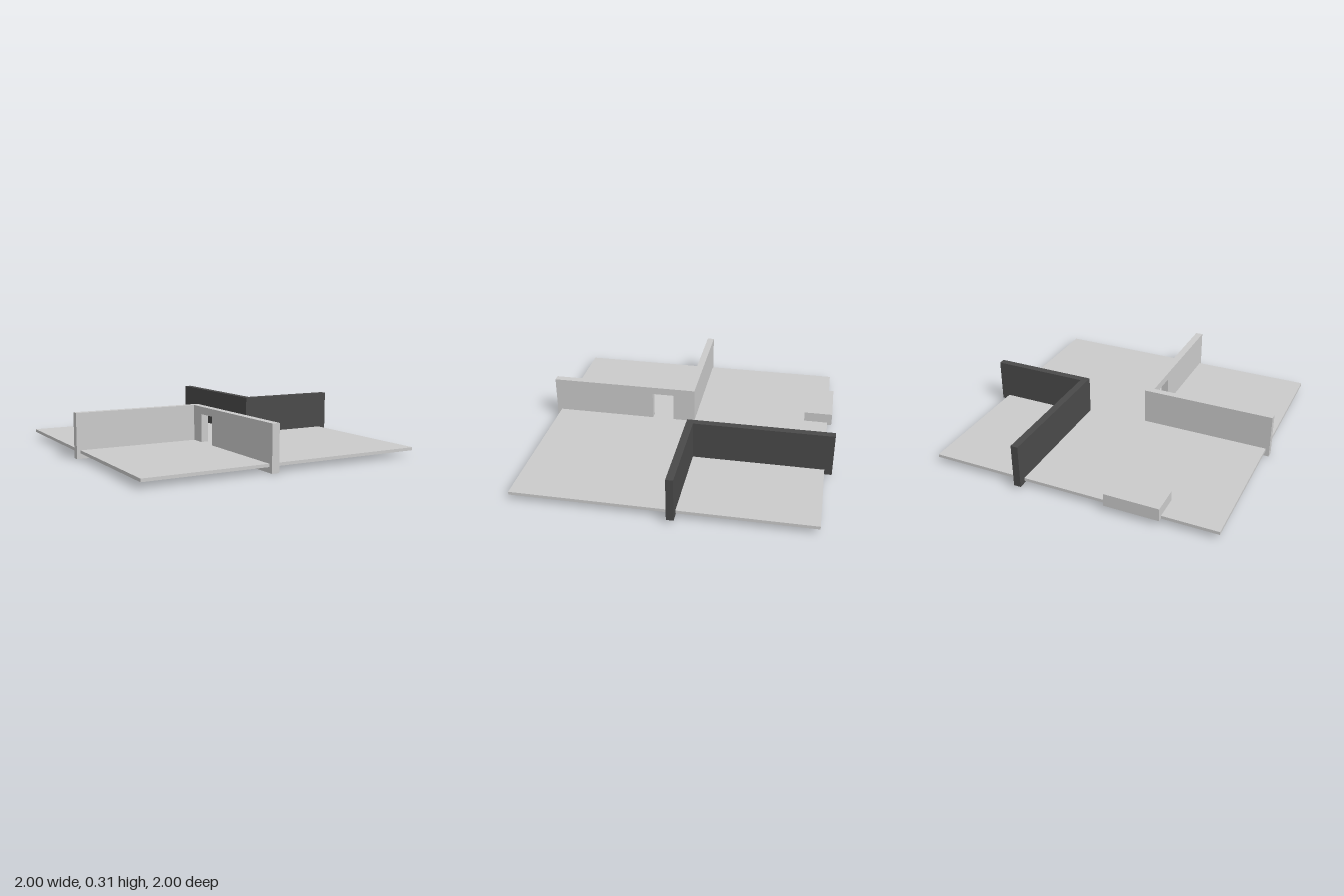
import * as THREE from 'three';

const grey = new THREE.MeshStandardMaterial({ color: 0xcccccc });
const dark = new THREE.MeshStandardMaterial({ color: 0x4a4a4a });

// Box given by its minimum and maximum corners
function block(name, [x0, y0, z0], [x1, y1, z1], material) {
  const mesh = new THREE.Mesh(new THREE.BoxGeometry(x1 - x0, y1 - y0, z1 - z0), material);
  mesh.position.set((x0 + x1) / 2, (y0 + y1) / 2, (z0 + z1) / 2);
  mesh.name = name;
  return mesh;
}

// Upright L-shaped wall, extruded from its footprint given as [x, z] corners
function cornerWall(name, footprint, y0, y1, material) {
  const shape = new THREE.Shape(footprint.map(([x, z]) => new THREE.Vector2(x, -z)));
  const geometry = new THREE.ExtrudeGeometry(shape, { depth: y1 - y0, bevelEnabled: false });
  geometry.rotateX(-Math.PI / 2).translate(0, y0, 0);
  const mesh = new THREE.Mesh(geometry, material);
  mesh.name = name;
  return mesh;
}

// Wall running along z with a rectangular doorway
function doorWall(name, xMax, thickness, z0, z1, height, door) {
  const rect = (Type, a0, b0, a1, b1) => new Type([
    new THREE.Vector2(a0, b0), new THREE.Vector2(a1, b0),
    new THREE.Vector2(a1, b1), new THREE.Vector2(a0, b1)]);
  const shape = rect(THREE.Shape, z0, 0, z1, height);
  shape.holes.push(rect(THREE.Path, ...door));
  const geometry = new THREE.ExtrudeGeometry(shape, { depth: thickness, bevelEnabled: false });
  geometry.rotateY(-Math.PI / 2).translate(xMax, 0, 0);
  const mesh = new THREE.Mesh(geometry, grey);
  mesh.name = name;
  return mesh;
}

export function createModel() {
  const model = new THREE.Group();
  model.name = 'floorWithWalls';

  // Thin floor slab
  model.add(block('floor', [-0.975, 0.035, -0.95], [0.945, 0.055, 0.97], grey));

  // Light corner wall: a plain run along x and a run along z with a doorway
  const lightWall = new THREE.Group();
  lightWall.name = 'lightCornerWall';
  lightWall.add(
    block('plainWall', [-1, 0, -0.015], [-0.16, 0.295, 0.033], grey),
    doorWall('doorwayWall', -0.11, 0.05, -0.015, 1, 0.295, [0.135, 0.05, 0.285, 0.245]),
  );
  model.add(lightWall);

  // Dark corner wall
  model.add(cornerWall('darkCornerWall', [
    [0.3, -0.04], [1, -0.04], [1, -0.087], [0.347, -0.087], [0.347, -1], [0.3, -1],
  ], 0.02, 0.31, dark));

  // Low block overhanging the back edge
  model.add(block('lowBlock', [-0.615, 0.037, -0.98], [-0.257, 0.122, -0.787], grey));

  return model;
}
